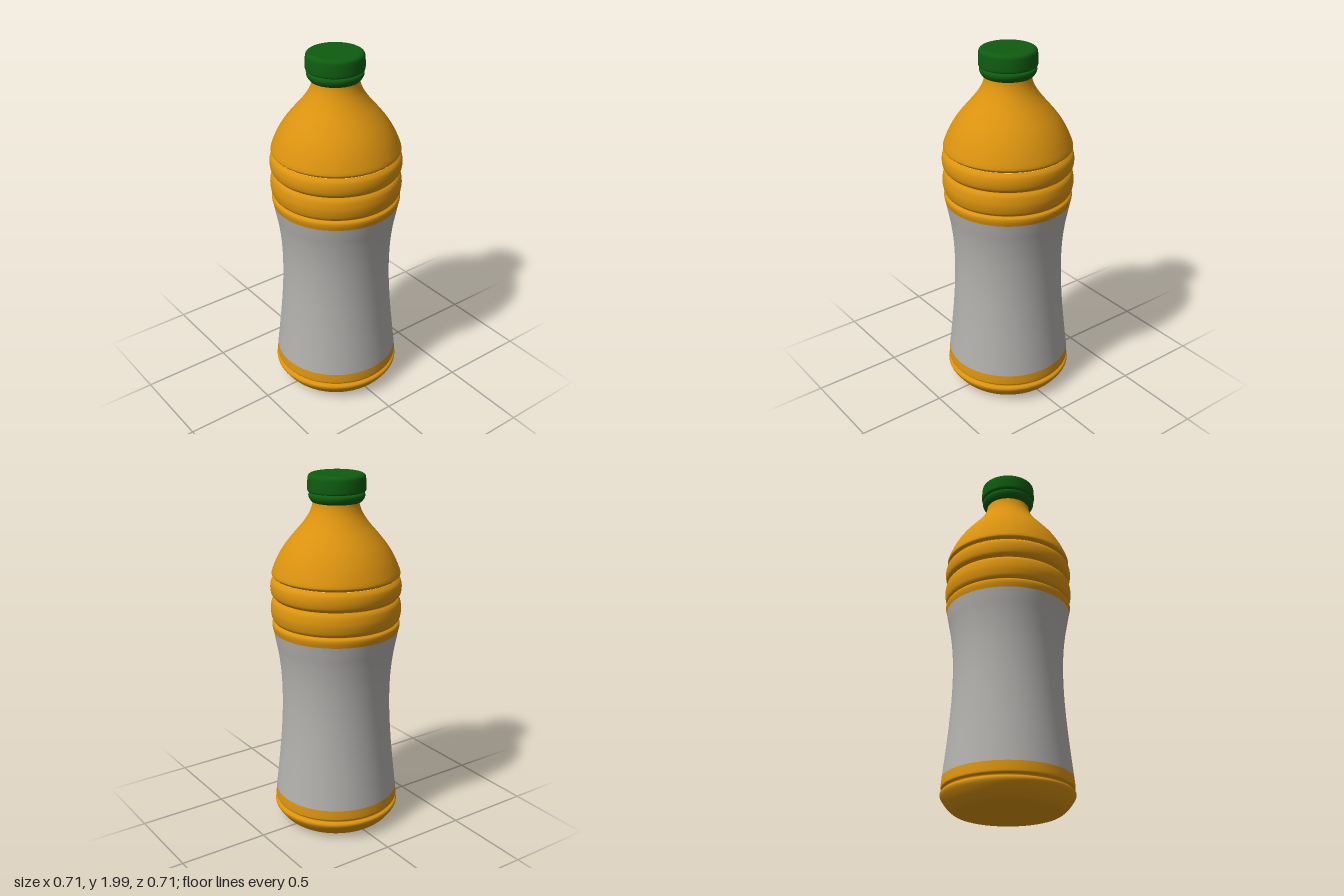
import * as THREE from 'three';

const SEGMENTS = 96;

// Smooth run of profile points [radius, y] through a few control points
function smooth(points, count) {
  return new THREE.SplineCurve(points.map(([r, y]) => new THREE.Vector2(r, y)))
    .getPoints(count).map((p) => [p.x, p.y]);
}

// Bulging ring between two groove floors
function ring(y0, y1, rGroove, rEdge, rMid) {
  const h = Math.min(0.022, (y1 - y0) * 0.3);
  return smooth([
    [rGroove, y0], [rGroove + 0.006, y0 + 0.004], [rEdge, y0 + h],
    [rMid, (y0 + y1) / 2],
    [rEdge, y1 - h], [rGroove + 0.006, y1 - 0.004], [rGroove, y1],
  ], 30);
}

// Surface of revolution from a bottom-to-top profile
function turned(name, profile, material) {
  const pts = profile.map(([r, y]) => new THREE.Vector2(Math.max(r, 0), y));
  const mesh = new THREE.Mesh(new THREE.LatheGeometry(pts, SEGMENTS), material);
  mesh.name = name;
  return mesh;
}

export function createModel() {
  const juice = new THREE.MeshStandardMaterial({ color: 0xdb930f });
  juice.name = 'orange juice';
  const paper = new THREE.MeshStandardMaterial({ color: 0xb3b1ae });
  paper.name = 'label grey';
  const green = new THREE.MeshStandardMaterial({ color: 0x0f5c10 });
  green.name = 'cap green';

  const bottle = new THREE.Group();
  bottle.name = 'bottle';

  // Flat foot, rounded base, groove and lower band
  bottle.add(turned('base', [
    [0, 0.01], [0.1, 0.01], [0.2, 0.009],
    ...smooth([[0.235, 0.01], [0.28, 0.018], [0.315, 0.045], [0.342, 0.08], [0.353, 0.102], [0.35, 0.116], [0.336, 0.122]], 30),
    [0.334, 0.126],
    ...smooth([[0.338, 0.131], [0.347, 0.137], [0.349, 0.15], [0.345, 0.195]], 12),
  ], juice));

  // Wrapped label following the narrow waist
  bottle.add(turned('label', smooth([
    [0.345, 0.195], [0.331, 0.32], [0.315, 0.48], [0.304, 0.64], [0.301, 0.78],
    [0.306, 0.91], [0.319, 1.02], [0.334, 1.1], [0.343, 1.15],
  ], 48), paper));

  // Grip rings above the label
  bottle.add(turned('gripRings', [
    ...smooth([[0.343, 1.15], [0.349, 1.175], [0.348, 1.193], [0.339, 1.201], [0.334, 1.204]], 14),
    ...ring(1.206, 1.334, 0.334, 0.35, 0.356),
    ...ring(1.338, 1.448, 0.331, 0.351, 0.356),
  ], juice));

  // Domed shoulder drawn in to the neck
  bottle.add(turned('shoulder', [
    [0.331, 1.449],
    ...smooth([
      [0.333, 1.453], [0.344, 1.46], [0.347, 1.472], [0.336, 1.505], [0.311, 1.56],
      [0.274, 1.62], [0.226, 1.68], [0.179, 1.735], [0.145, 1.785], [0.128, 1.825],
      [0.122, 1.86], [0.122, 1.9],
    ], 60),
  ], juice));

  // Cap: tamper band, gap and screw top
  const cap = new THREE.Group();
  cap.name = 'cap';
  cap.position.set(-0.003, 0, -0.003);
  cap.add(turned('tamperBand', [
    [0.115, 1.852], [0.128, 1.852],
    ...smooth([[0.133, 1.853], [0.143, 1.866], [0.149, 1.88], [0.149, 1.892], [0.145, 1.898]], 14),
    [0.125, 1.9],
  ], green));
  cap.add(turned('screwTop', [
    [0.125, 1.903], [0.143, 1.904],
    ...smooth([[0.149, 1.905], [0.154, 1.911], [0.155, 1.93], [0.153, 1.975], [0.148, 1.99], [0.136, 1.998], [0.12, 2.0]], 28),
    [0.06, 2.0], [0, 2.0],
  ], green));
  bottle.add(cap);

  return bottle;
}
